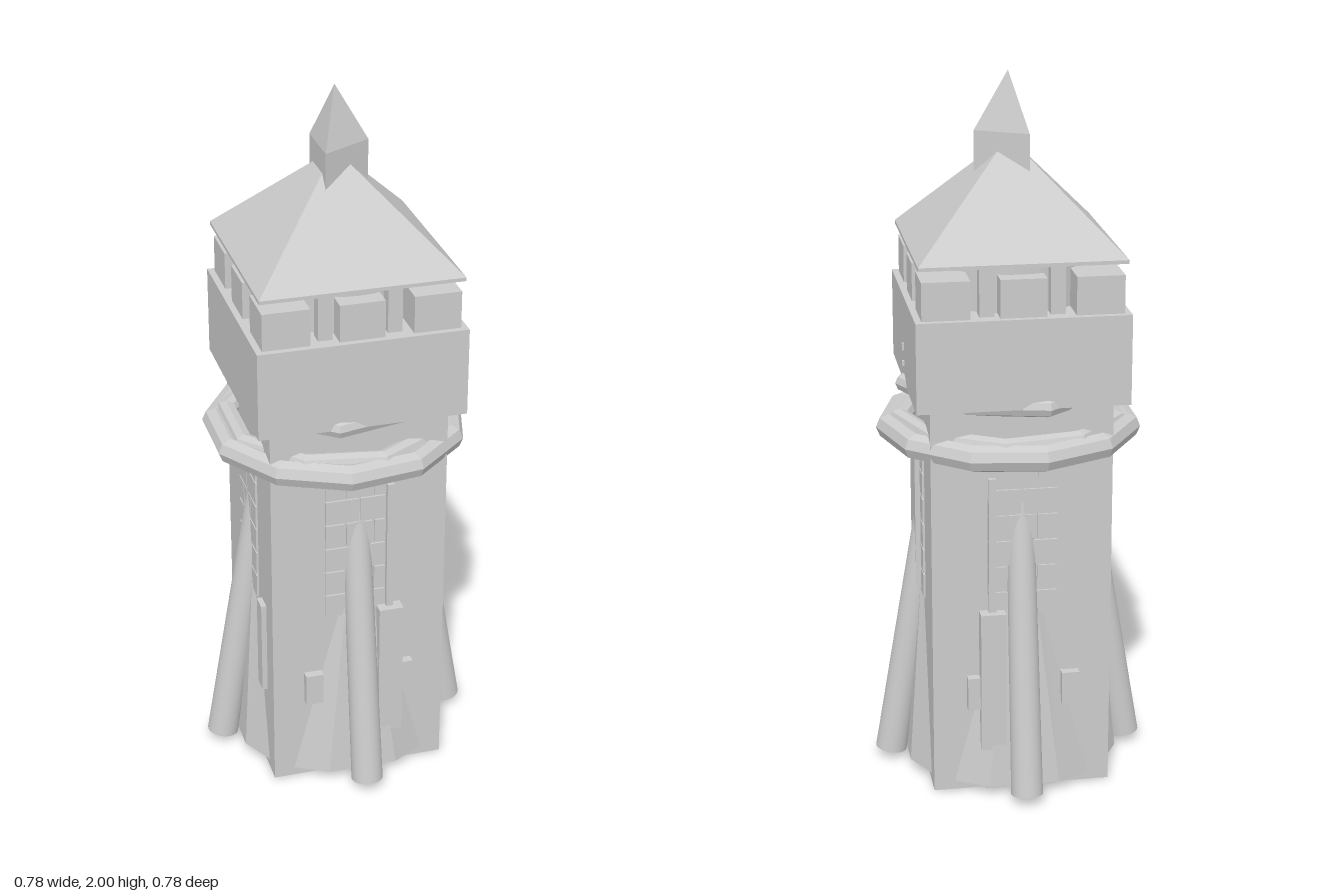
import * as THREE from 'three';

const mat = new THREE.MeshStandardMaterial({ color: 0xcccccc, flatShading: true });
const smooth = new THREE.MeshStandardMaterial({ color: 0xcccccc });

function add(parent, name, geo, x = 0, y = 0, z = 0, material = mat) {
  const mesh = new THREE.Mesh(geo, material);
  mesh.name = name;
  mesh.position.set(x, y, z);
  parent.add(mesh);
  return mesh;
}

// Box given by its lower and upper corner
function block(parent, name, x0, x1, y0, y1, z0, z1) {
  return add(parent, name, new THREE.BoxGeometry(x1 - x0, y1 - y0, z1 - z0),
    (x0 + x1) / 2, (y0 + y1) / 2, (z0 + z1) / 2);
}

// Flared buttress skirt lofted from a wide foot to a narrow head
function skirtGeometry() {
  const foot = [[-0.2, 0.245], [-0.1, 0.3], [0.1, 0.3], [0.2, 0.245]];
  const head = [[-0.06, 0.245], [-0.04, 0.257], [0.04, 0.257], [0.06, 0.245]];
  const a = foot.map(([x, z]) => [x, 0.03, z]);
  const b = head.map(([x, z]) => [x, 0.56, z]);
  const pos = [];
  const quad = (p, q, r, s) => pos.push(...p, ...q, ...r, ...p, ...r, ...s);
  for (let i = 0; i < 3; i++) quad(a[i], a[i + 1], b[i + 1], b[i]);
  quad(a[3], a[2], a[1], a[0]);
  quad(b[0], b[1], b[2], b[3]);
  const geo = new THREE.BufferGeometry();
  geo.setAttribute('position', new THREE.Float32BufferAttribute(pos, 3));
  geo.computeVertexNormals();
  return geo;
}

// Running-bond bricks standing a little proud of the wall
function bricks(parent) {
  const rows = 6, h = 0.075;
  for (let r = 0; r < rows; r++) {
    const y = 0.53 + r * h;
    const cuts = r % 2 ? [-0.1, -0.04, 0.04, 0.1] : [-0.1, 0, 0.1];
    for (let i = 0; i < cuts.length - 1; i++) {
      block(parent, 'brick', cuts[i] + 0.003, cuts[i + 1] - 0.003, y + 0.003, y + h - 0.003, 0.24, 0.256);
    }
  }
}

// Everything that decorates one wall, built on the +z face
function wallSide(name) {
  const g = new THREE.Group();
  g.name = name;
  bricks(g);
  add(g, 'buttressSkirt', skirtGeometry());
  // leaning round strut whose top sinks into the wall
  const from = new THREE.Vector3(0, 0.026, 0.346), to = new THREE.Vector3(0, 0.9, 0.205);
  const strut = add(g, 'leaningStrut', new THREE.CylinderGeometry(0.038, 0.045, from.distanceTo(to), 24), 0, 0, 0, smooth);
  strut.position.copy(from).lerp(to, 0.5);
  strut.quaternion.setFromUnitVectors(new THREE.Vector3(0, 1, 0), to.clone().sub(from).normalize());
  return g;
}

// Post with a stepped casing beside the strut
function downPost(g, s) {
  const b = (name, x0, x1, y0, y1, z1) => block(g, name, Math.min(s * x0, s * x1), Math.max(s * x0, s * x1), y0, y1, 0.24, z1);
  b('post', 0.075, 0.095, 0.5, 0.94, 0.27);
  b('postCasing', 0.05, 0.12, 0.14, 0.55, 0.29);
  b('smallBox', 0.11, 0.155, 0.26, 0.355, 0.275);
  b('smallBox', -0.16, -0.11, 0.26, 0.355, 0.275);
}

export function createModel() {
  const tower = new THREE.Group();
  tower.name = 'tower';

  // Shaft and overhanging upper storey
  block(tower, 'shaft', -0.25, 0.25, 0.005, 1.15, -0.25, 0.25);
  block(tower, 'footPlate', -0.1, 0.1, 0, 0.02, -0.253, 0.253);
  block(tower, 'footPlate', -0.253, 0.253, 0, 0.02, -0.1, 0.1);
  block(tower, 'upperStorey', -0.29, 0.29, 1.14, 1.39, -0.29, 0.29);

  // Four decorated walls
  const front = wallSide('frontWall');
  const leftWall = wallSide('leftWall');
  const back = wallSide('backWall');
  const rightWall = wallSide('rightWall');
  downPost(front, 1);
  downPost(back, -1);
  block(leftWall, 'wallPlate', -0.04, 0.04, 0.35, 0.94, 0.24, 0.27);
  block(leftWall, 'slit', -0.005, 0.005, 1.235, 1.255, 0.28, 0.296);
  block(leftWall, 'slit', -0.005, 0.005, 1.19, 1.205, 0.28, 0.296);
  block(rightWall, 'wallBox', 0.13, 0.18, 0.27, 0.55, 0.24, 0.265);
  [front, leftWall, back, rightWall].forEach((g, i) => {
    g.rotation.y = i * Math.PI / 2;
    tower.add(g);
  });

  // Stacked many-sided collars, each with a corner towards +x
  const collar = (name, radius, tube, sides, y, squash) => {
    const geo = new THREE.TorusGeometry(radius, tube, 8, sides);
    geo.rotateX(Math.PI / 2).scale(1, squash, 1);
    add(tower, name, geo, 0, y, 0);
  };
  collar('largeCollar', 0.335, 0.037, 11, 1.015, 1);
  collar('middleCollar', 0.305, 0.03, 9, 1.04, 0.85);
  collar('smallCollar', 0.29, 0.026, 7, 1.14, 1);

  // Battlements: corner and middle merlons around an inner drum
  for (const x of [-1, 0, 1]) for (const z of [-1, 0, 1]) {
    if (!x && !z) continue;
    const w = x ? 0.065 : 0.125, d = z ? 0.065 : 0.125;
    if (x && z) {
      add(tower, 'cornerMerlon', new THREE.BoxGeometry(0.13, 0.11, 0.13), x * 0.207, 1.44, z * 0.207);
    } else {
      add(tower, 'middleMerlon', new THREE.BoxGeometry(w, 0.11, d), x * 0.24, 1.44, z * 0.24);
    }
  }
  add(tower, 'drum', new THREE.CylinderGeometry(0.225, 0.225, 0.15, 32), 0, 1.46, 0, smooth);
  for (let i = 0; i < 8; i++) {
    const a = (i + 0.5) * Math.PI / 4;
    add(tower, 'roofPost', new THREE.BoxGeometry(0.04, 0.14, 0.04), 0.25 * Math.cos(a), 1.46, 0.25 * Math.sin(a));
  }

  // Square hipped roof with a thin eave
  block(tower, 'eave', -0.28, 0.28, 1.527, 1.537, -0.28, 0.28);
  const roof = new THREE.ConeGeometry(0.28 * Math.SQRT2, 0.285, 4);
  roof.rotateY(Math.PI / 4);
  add(tower, 'roof', roof, 0, 1.6795, 0);

  // Three-sided finial with a corner towards +x
  const finialBase = new THREE.CylinderGeometry(0.093, 0.093, 0.12, 3);
  const finialTip = new THREE.ConeGeometry(0.093, 0.16, 3);
  for (const g of [finialBase, finialTip]) g.rotateY(Math.PI / 2);
  add(tower, 'finialBase', finialBase, 0, 1.78, 0);
  add(tower, 'finialTip', finialTip, 0, 1.92, 0);

  return tower;
}
